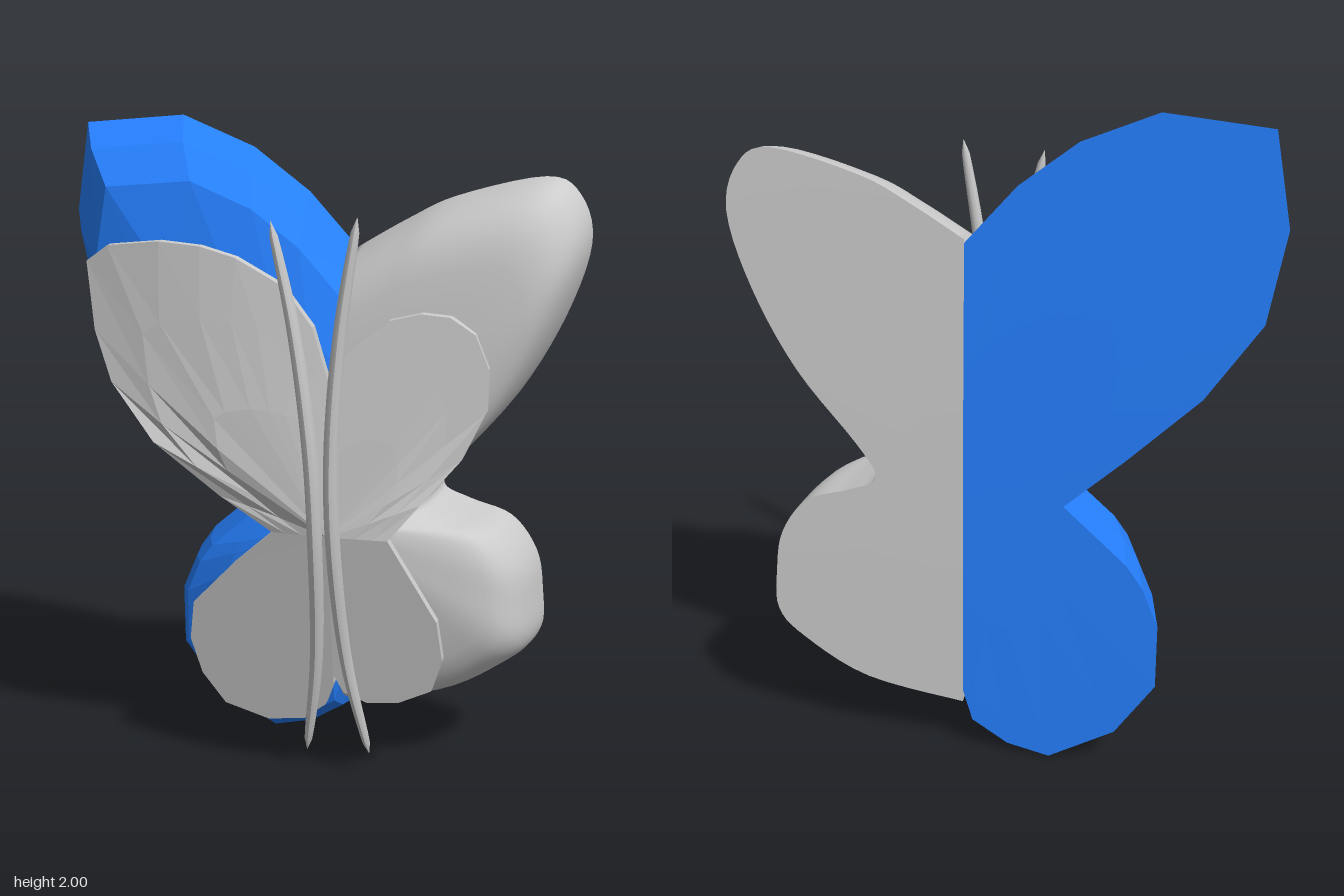
import * as THREE from 'three';
import { toCreasedNormals } from 'three/addons/utils/BufferGeometryUtils.js';

const SEAM = 0.1; // x of the line where the two halves meet
const { lerp, smoothstep } = THREE.MathUtils;

// Shell made of scaled copies of an outline (listed top to bottom) around a
// point on the seam. Rings run from the back centre over the rim to the front.
function shell(outline, cy, rings) {
  const right = outline[Math.floor(outline.length / 2)][0] > SEAM;
  const grid = rings.map(([s, depth]) => outline.map(([px, py]) => {
    const x = SEAM + (px - SEAM) * s;
    const y = cy + (py - cy) * s;
    return new THREE.Vector3(x, y, depth(x, y));
  }));
  const pos = [];
  const tri = (a, b, c) => {
    if (a.distanceTo(b) < 1e-6 || b.distanceTo(c) < 1e-6 || c.distanceTo(a) < 1e-6) return;
    for (const p of right ? [a, b, c] : [a, c, b]) pos.push(p.x, p.y, p.z);
  };
  const last = outline.length - 1;
  const mid = grid[0][0].clone().lerp(grid[grid.length - 1][0], 0.5);
  for (let i = 0; i < grid.length - 1; i++) {
    const p = grid[i], q = grid[i + 1];
    for (let j = 0; j < last; j++) {
      tri(p[j], q[j], q[j + 1]);
      tri(p[j], q[j + 1], p[j + 1]);
    }
    // flat wall along the seam
    tri(mid, q[0], p[0]);
    tri(mid, p[last], q[last]);
  }
  const geo = new THREE.BufferGeometry();
  geo.setAttribute('position', new THREE.Float32BufferAttribute(pos, 3));
  geo.computeVertexNormals();
  return geo;
}

// Wing rings: sloping, barely curved back, steep side, domed front
const backZ = (y) => -0.29 + 0.04 * y + 0.013 * y * y;
const domeRings = (profile) => [[0, 0], [0.5, 0], [0.9, 0], [1, 0], ...profile].map(
  ([s, t]) => [s, (x, y) => lerp(backZ(y), 0.155, t)]);

// Thin plate rings following a depth function
const plateRings = (depth) => [
  ...[0, 0.5, 1].map((s) => [s, (x, y) => depth(x, y) - 0.03]),
  ...[1, 0.75, 0.45, 0].map((s) => [s, depth]),
];

// Slender feeler along a curve, tapered at both tips
function feeler(points) {
  const curve = new THREE.CatmullRomCurve3(points.map((p) => new THREE.Vector3(...p)));
  const n = 40, sides = 8;
  const geo = new THREE.TubeGeometry(curve, n, 0.023, sides, false);
  const pos = geo.attributes.position;
  const v = new THREE.Vector3();
  for (let i = 0; i <= n; i++) {
    const c = curve.getPointAt(i / n);
    const k = Math.pow(Math.max(0, Math.sin(Math.PI * i / n)), 0.25);
    for (let j = 0; j <= sides; j++) {
      const id = i * (sides + 1) + j;
      v.fromBufferAttribute(pos, id).sub(c).multiplyScalar(k).add(c);
      pos.setXYZ(id, v.x, v.y, v.z);
    }
  }
  geo.computeVertexNormals();
  return geo;
}

export function createModel() {
  const group = new THREE.Group();
  const add = (name, geo, options = {}) => {
    const mesh = new THREE.Mesh(geo, new THREE.MeshStandardMaterial({ color: 0xcccccc, ...options }));
    mesh.name = name;
    group.add(mesh);
  };

  // Faceted blue half
  const blueOutline = [
    [0.1, 1.61], [-0.05, 1.78], [-0.22, 1.91], [-0.44, 2], [-0.75, 1.97], [-0.8, 1.7],
    [-0.75, 1.43], [-0.59, 1.2], [-0.38, 1.0], [-0.2, 0.84], [-0.39, 0.67], [-0.44, 0.6],
    [-0.49, 0.48], [-0.49, 0.28], [-0.37, 0.11], [-0.17, 0], [-0.04, 0.03], [0.07, 0.1], [0.1, 0.2],
  ];
  add('facetedWing', shell(blueOutline, 0.85, domeRings(
    [[0.94, 0.36], [0.85, 0.64], [0.6, 0.8], [0.3, 0.91], [0, 1]])),
  { color: 0x2680ff, flatShading: true });

  // Smooth grey half
  const smoothOutline = new THREE.SplineCurve([
    [0.1, 1.62], [0.25, 1.71], [0.4, 1.785], [0.66, 1.85], [0.76, 1.8], [0.797, 1.66],
    [0.73, 1.44], [0.6, 1.2], [0.42, 0.98], [0.365, 0.88], [0.45, 0.835], [0.58, 0.79],
    [0.66, 0.68], [0.682, 0.55], [0.68, 0.42], [0.6, 0.33], [0.4, 0.215], [0.1, 0.16],
  ].map((p) => new THREE.Vector2(...p))).getPoints(85).map((p) => [p.x, p.y]);
  add('smoothWing', toCreasedNormals(shell(smoothOutline, 0.85, domeRings([
    [0.995, 0.1], [0.98, 0.26], [0.96, 0.39], [0.93, 0.52], [0.89, 0.62], [0.84, 0.7],
    [0.77, 0.75], [0.65, 0.8], [0.5, 0.85], [0.3, 0.91], [0, 1]])), 1.5));

  // Thin front plates: the right one bows forward at the top, the left one
  // turns back, and both lower lobes lean back
  const lower = (x, y) => 0.2 - 0.18 * (0.82 - y) - 0.05 * Math.abs(x - SEAM);
  const rightDepth = (x, y) => {
    const u = SEAM - x;
    const upper = 0.2 + 0.41 * u - 0.46 * u * u;
    return lerp(lower(x, Math.min(y, 0.82)), upper, smoothstep(y, 0.8, 1.1));
  };
  const leftDepth = (x, y) => lerp(lower(x, Math.min(y, 0.82)), 0.21 - 0.25 * (x - SEAM),
    smoothstep(y, 0.8, 1.1));
  add('rightPlate', shell([
    [0.1, 1.3], [0.06, 1.45], [-0.02, 1.57], [-0.15, 1.65], [-0.25, 1.68], [-0.37, 1.69],
    [-0.53, 1.67], [-0.6, 1.62], [-0.58, 1.42], [-0.53, 1.27], [-0.4, 1.1], [-0.22, 0.93],
    [-0.07, 0.82], [-0.2, 0.7], [-0.34, 0.55], [-0.36, 0.42], [-0.33, 0.3], [-0.26, 0.2],
    [-0.12, 0.16], [0, 0.18], [0.07, 0.24], [0.1, 0.32],
  ], 0.82, plateRings(rightDepth)), { flatShading: true });
  add('leftPlate', shell([
    [0.1, 1.3], [0.18, 1.4], [0.27, 1.47], [0.36, 1.49], [0.44, 1.48], [0.51, 1.43],
    [0.55, 1.33], [0.545, 1.2], [0.48, 1.06], [0.37, 0.93], [0.28, 0.82], [0.35, 0.69],
    [0.42, 0.56], [0.435, 0.43], [0.4, 0.32], [0.3, 0.27], [0.2, 0.26], [0.13, 0.29], [0.1, 0.35],
  ], 0.82, plateRings(leftDepth)), { flatShading: true });

  // Pair of curved feelers
  add('rightFeeler', feeler([[-0.045, 1.76, 0.275], [0.02, 1.45, 0.272], [0.062, 1.1, 0.258],
    [0.07, 0.8, 0.225], [0.05, 0.4, 0.13], [0, 0.06, 0.05]]));
  add('leftFeeler', feeler([[0.205, 1.78, 0.28], [0.155, 1.45, 0.272], [0.127, 1.1, 0.258],
    [0.125, 0.8, 0.225], [0.145, 0.4, 0.13], [0.2, 0.07, 0.05]]));
  return group;
}
